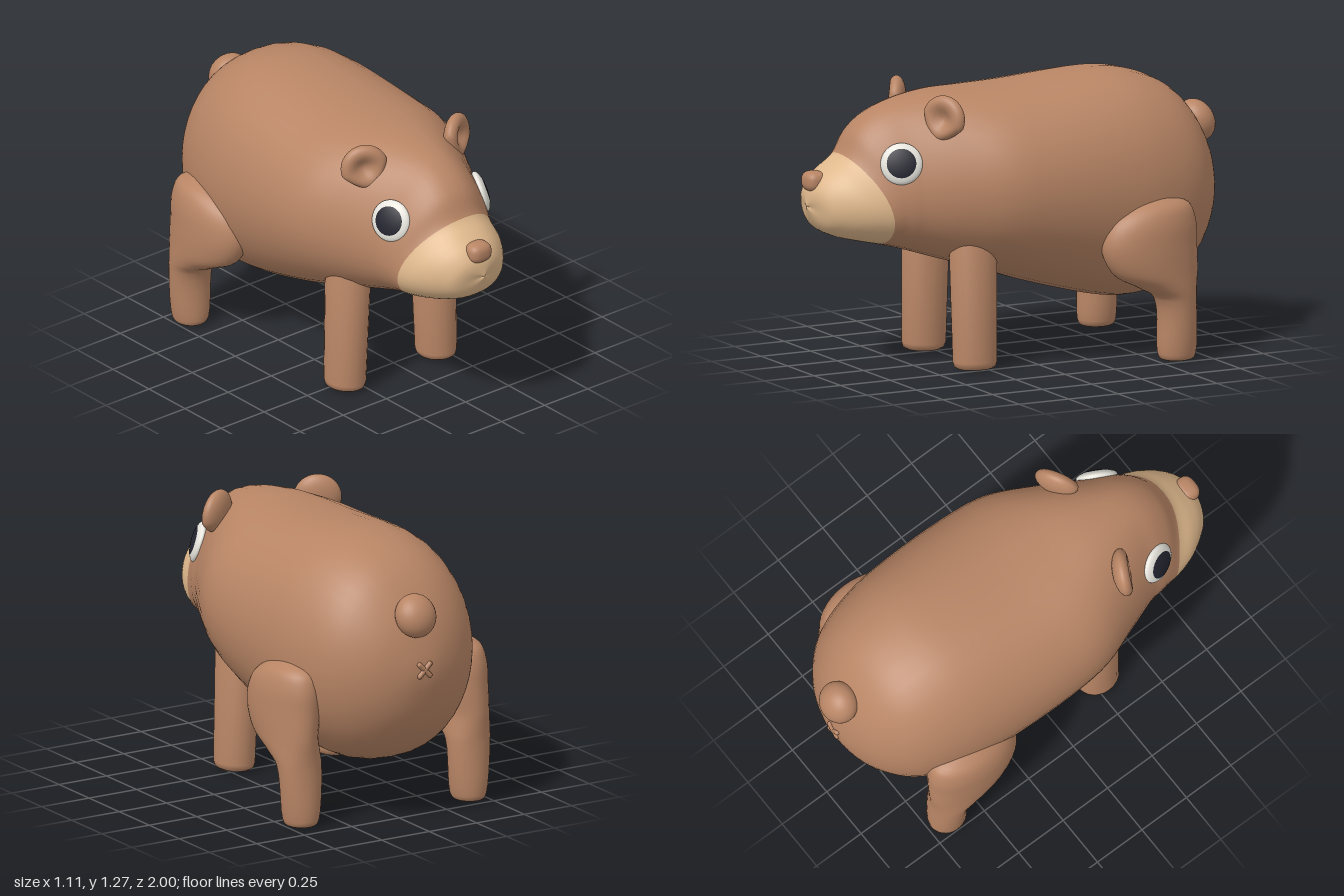
import * as THREE from 'three';

const fur = new THREE.MeshStandardMaterial({ color: 0xb88565 });
fur.name = 'brownFur';
const pale = new THREE.MeshStandardMaterial({ color: 0xdfb88c });
pale.name = 'paleMuzzle';
const white = new THREE.MeshStandardMaterial({ color: 0xe6e4dc });
white.name = 'eyeWhite';
const dark = new THREE.MeshStandardMaterial({ color: 0x23232f });
dark.name = 'pupilDark';

const SEG = 40, SUB = 5;

// Smooth skin through a list of sections; at(section, angle) gives a point
function loft(sections, at, splitAt = sections.length) {
  const rows = (sections.length - 1) * SUB, pos = [], idx = [];
  const columns = [];
  for (let j = 0; j < SEG; j++) {
    const a = (j / SEG) * Math.PI * 2;
    columns.push(new THREE.CatmullRomCurve3(sections.map((s) => at(s, a))));
  }
  for (let i = 0; i <= rows; i++)
    for (const c of columns) pos.push(...c.getPoint(i / rows).toArray());
  for (let i = 0; i < rows; i++)
    for (let j = 0; j < SEG; j++) {
      const k = (j + 1) % SEG, a = i * SEG + j, b = i * SEG + k;
      idx.push(a, b, a + SEG, b, b + SEG, a + SEG);
    }
  const g = new THREE.BufferGeometry();
  g.setAttribute('position', new THREE.Float32BufferAttribute(pos, 3));
  g.setIndex(idx);
  g.computeVertexNormals();
  const cut = Math.min(splitAt * SUB, rows) * SEG * 6;
  g.addGroup(0, cut, 0);
  if (cut < idx.length) g.addGroup(cut, idx.length - cut, 1);
  return g;
}

// Body sections, tail to snout: zTop, yTop, zBottom, yBottom, half width
const BODY = [
  [-0.965, 0.73, -0.965, 0.73, 0],
  [-0.953, 0.81, -0.953, 0.64, 0.09],
  [-0.9, 0.97, -0.9, 0.48, 0.23],
  [-0.8, 1.12, -0.8, 0.345, 0.35],
  [-0.7, 1.2, -0.7, 0.275, 0.41],
  [-0.55, 1.255, -0.55, 0.237, 0.455],
  [-0.4, 1.27, -0.4, 0.245, 0.477],
  [0, 1.242, 0, 0.35, 0.49],
  [0.2, 1.235, 0.2, 0.42, 0.468],
  [0.4, 1.232, 0.4, 0.48, 0.382],
  [0.6, 1.195, 0.54, 0.525, 0.303],
  [0.7, 1.15, 0.59, 0.54, 0.288],
  [0.78, 1.08, 0.64, 0.553, 0.277],
  [0.835, 0.98, 0.69, 0.565, 0.266],
  [0.9, 0.925, 0.78, 0.585, 0.24],
  [0.95, 0.88, 0.87, 0.61, 0.188],
  [0.98, 0.83, 0.94, 0.65, 0.13],
  [0.993, 0.75, 0.993, 0.75, 0],
];
const MUZZLE_START = 13;
const bump = (z, centre, width) => Math.exp(-(((z - centre) / width) ** 2));

// The head drifts to one side, is narrower on top, and its sections bow backward
function bodyPoint([zT, yT, zB, yB, hw], a) {
  const c = Math.cos(a), s = Math.sin(a), t = (s + 1) / 2;
  const drift = -0.09 * Math.pow(Math.max(0, (zT + 0.96) / 1.95), 1.7);
  const bow = 0.05 * bump(zT, 0.82, 0.13);
  const wide = Math.sign(c) * Math.pow(Math.abs(c), 0.87) * (1 - 0.28 * bump(zT, 0.68, 0.3) * s);
  return new THREE.Vector3(drift + hw * wide, yB + (yT - yB) * t, zB + (zT - zB) * t - bow * c * c);
}

// Hind leg sections: y, zFront, zBack, xInner, xOuter
const HIND = [
  [0, -0.6, -0.6, 0.425, 0.425],
  [0.005, -0.53, -0.675, 0.36, 0.492],
  [0.03, -0.515, -0.69, 0.345, 0.505],
  [0.28, -0.5, -0.687, 0.325, 0.532],
  [0.34, -0.41, -0.69, 0.322, 0.542],
  [0.41, -0.285, -0.695, 0.32, 0.55],
  [0.53, -0.23, -0.695, 0.3, 0.553],
  [0.64, -0.265, -0.69, 0.3, 0.543],
  [0.71, -0.36, -0.66, 0.32, 0.51],
  [0.753, -0.52, -0.52, 0.42, 0.42],
];

function hindPoint([y, zF, zB, xi, xo], a, side, shift) {
  const x = ((xi + xo) / 2) * side + ((xo - xi) / 2) * Math.cos(a);
  return new THREE.Vector3(x, y, (zF + zB) / 2 + shift - ((zF - zB) / 2) * Math.sin(a));
}

// Unit sphere with every vertex moved by a rule
function shapedSphere(rule) {
  const g = new THREE.SphereGeometry(1, 32, 24), p = g.attributes.position;
  for (let i = 0; i < p.count; i++) p.setXYZ(i, ...rule(p.getX(i), p.getY(i), p.getZ(i)));
  g.computeVertexNormals();
  return g;
}

export function createModel() {
  const model = new THREE.Group();
  const add = (name, geo, mat, parent = model) => {
    const m = new THREE.Mesh(geo, mat);
    m.name = name;
    parent.add(m);
    return m;
  };

  const body = add('bodyAndMuzzle', loft(BODY, bodyPoint, MUZZLE_START), [fur, pale]);

  const legProfile = [[0, 0], [0.07, 0.002], [0.084, 0.012], [0.09, 0.035], [0.098, 0.62], [0, 0.64]]
    .map(([r, y]) => new THREE.Vector2(r, y));
  // Round ear with a dished front and a narrow foot
  const ear = shapedSphere((x, y, z) => [
    x * 0.108 * (1 + 0.4 * Math.min(0, y)),
    y * 0.105,
    z * 0.05 * (z > 0 ? 1 - 1.1 * Math.exp(-3.5 * (x * x + y * y)) : 1),
  ]);
  const eyeball = new THREE.SphereGeometry(1, 32, 20);
  const pupilCap = new THREE.SphereGeometry(1.03, 32, 8, 0, Math.PI * 2, 0, 0.75).rotateX(Math.PI / 2);

  for (const side of [1, -1]) {
    const left = side > 0, label = left ? 'left' : 'right';

    // Legs
    const front = add(label + 'FrontLeg', new THREE.LatheGeometry(legProfile, 24), fur);
    front.position.set(left ? 0.206 : -0.31, 0.003, left ? 0.298 : 0.282);
    front.rotation.z = 0.035 * side;
    front.scale.z = 1.14;
    add(label + 'HindLeg', loft(HIND, (s, a) => hindPoint(s, a, side, left ? 0 : -0.05)), [fur]);

    // Ears
    const e = add(label + 'Ear', ear, fur);
    e.position.set(left ? 0.2 : -0.315, 1.148, left ? 0.452 : 0.425);
    e.rotation.set(-0.1, 0.5 * side, -0.35 * side, 'YXZ');

    // Eyes rest on the skin of the head
    const from = new THREE.Vector3(side, 0.958, left ? 0.65 : 0.615);
    const [hit] = new THREE.Raycaster(from, new THREE.Vector3(-side, 0, 0)).intersectObject(body);
    const normal = new THREE.Vector3(0.86 * side, 0.22, 0.44).lerp(hit.face.normal, 0.5).normalize();
    const eye = new THREE.Group();
    eye.name = label + 'Eye';
    eye.position.copy(hit.point);
    eye.quaternion.setFromUnitVectors(new THREE.Vector3(0, 0, 1), normal);
    eye.scale.set(0.094, 0.094, 0.03);
    add(label + 'EyeWhite', eyeball, white, eye);
    add(label + 'Pupil', pupilCap, dark, eye);
    model.add(eye);

    // Crossed pleats under the tail
    const pleat = add(label + 'Pleat', new THREE.CapsuleGeometry(0.012, 0.075, 4, 10), fur);
    pleat.position.set(0, 0.74, -0.962);
    pleat.rotation.z = (side * Math.PI) / 4;
  }

  // Nose: a soft rounded block
  const soft = (v) => Math.sign(v) * Math.pow(Math.abs(v), 0.75);
  const nose = shapedSphere((x, y, z) => [soft(x) * 0.059, soft(y) * 0.046, soft(z) * 0.05]);
  add('nose', nose, fur).position.set(-0.095, 0.863, 0.95);

  // Tail
  const tail = add('tail', new THREE.SphereGeometry(1, 28, 20), fur);
  tail.scale.set(0.096, 0.1, 0.078);
  tail.position.set(0.02, 0.985, -0.918);
  tail.rotation.x = 0.45;

  return model;
}
